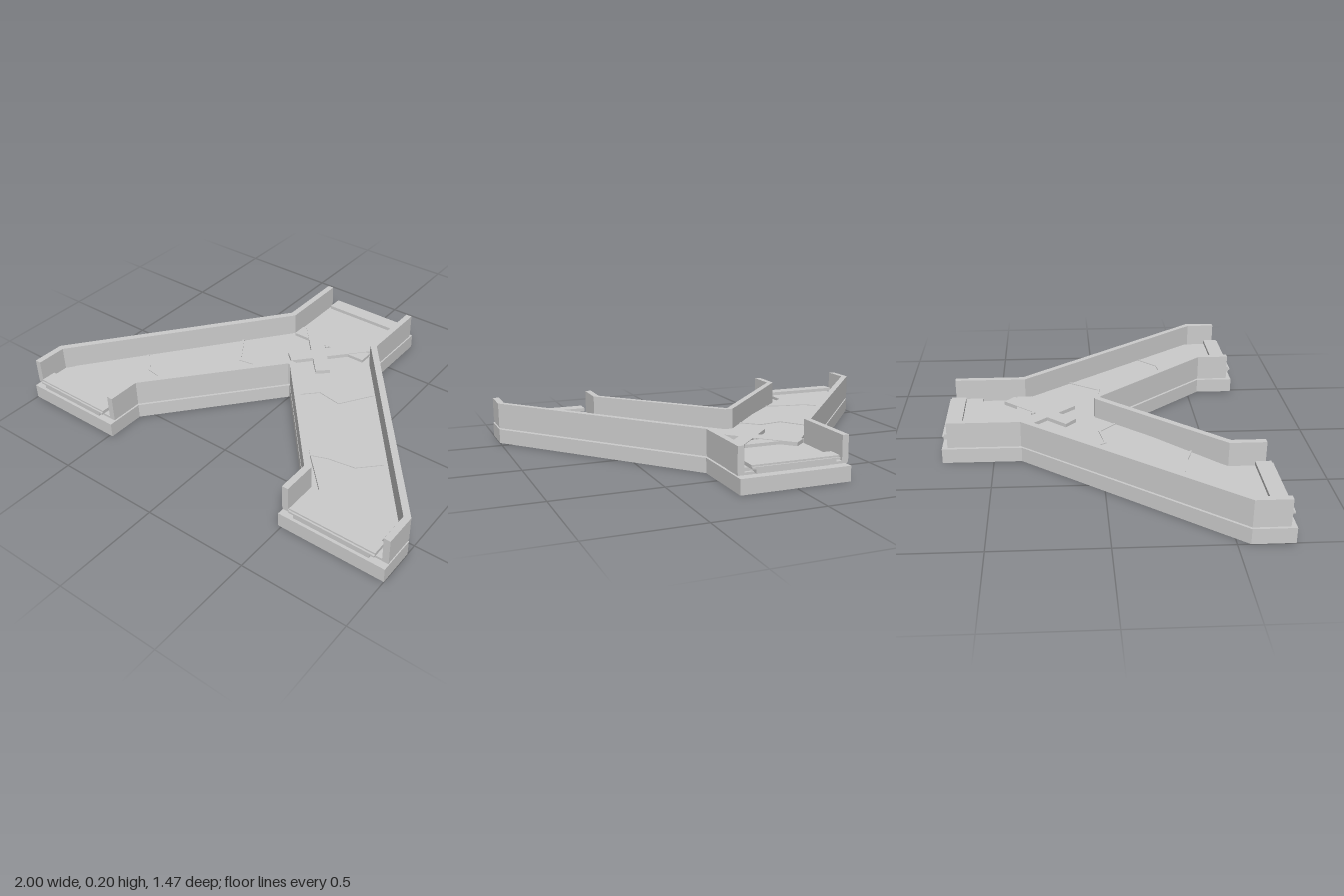
import * as THREE from 'three';

const material = new THREE.MeshStandardMaterial({ color: 0xcccccc, flatShading: true });
const BASE = 0.07;   // top of the base slab
const PLATE = 0.077; // underside of the raised deck
const LEDGE = 0.088; // top of the deck plate, foot of the walls
const FLOOR = 0.104; // top of the floor panel

// Extrude a plan outline of [x, z] points between two heights
function slab(name, points, y0, y1) {
  const shape = new THREE.Shape(points.map(([x, z]) => new THREE.Vector2(x, -z)));
  const geo = new THREE.ExtrudeGeometry(shape, { depth: y1 - y0, bevelEnabled: false });
  geo.rotateX(-Math.PI / 2);
  geo.translate(0, y0, 0);
  const mesh = new THREE.Mesh(geo, material);
  mesh.name = name;
  return mesh;
}

function box(name, x0, x1, y0, y1, z0, z1) {
  const mesh = new THREE.Mesh(new THREE.BoxGeometry(x1 - x0, y1 - y0, z1 - z0), material);
  mesh.position.set((x0 + x1) / 2, (y0 + y1) / 2, (z0 + z1) / 2);
  mesh.name = name;
  return mesh;
}

// Complete a half outline by mirroring it across x = 0
const mirror = (pts) => pts.map(([x, z]) => [-x, z]);
const mirrored = (half) => [...half, ...mirror(half).reverse().filter(([x]) => x !== 0)];

// Mitred sideways offset of an open polyline
function offset(pts, d) {
  const normals = pts.slice(1).map(([x, z], i) => {
    const dx = x - pts[i][0], dz = z - pts[i][1], l = Math.hypot(dx, dz);
    return [-dz / l, dx / l];
  });
  return pts.map(([x, z], i) => {
    const a = normals[Math.max(i - 1, 0)], b = normals[Math.min(i, normals.length - 1)];
    const k = d / (1 + a[0] * b[0] + a[1] * b[1]);
    return [x + (a[0] + b[0]) * k, z + (a[1] + b[1]) * k];
  });
}
const strip = (name, path, d, y0, y1) =>
  slab(name, [...path, ...offset(path, d).reverse()], y0, y1);
const wall = (name, path, d) => strip(name, path, d, LEDGE, 0.202);

// Sill across an open end; s is the outward z direction
function sill(name, cx, zOuter, s) {
  const g = new THREE.Group();
  g.name = name;
  const layer = (part, half, y0, y1, inner, outer) => {
    const a = zOuter - s * inner, b = zOuter - s * outer;
    g.add(box(part, cx - half, cx + half, y0, y1, Math.min(a, b), Math.max(a, b)));
  };
  layer('sillFoot', 0.178, BASE, PLATE, 0.08, 0.045);
  layer('sillCap', 0.206, FLOOR, 0.113, 0.08, 0);
  layer('sillTop', 0.206, 0.113, 0.121, 0.08, 0.008);
  return g;
}

export function createModel() {
  const group = new THREE.Group();
  group.name = 'forkedWalkway';

  // Base slab
  group.add(slab('base', mirrored([
    [0.26, -0.737], [0.26, -0.37], [1, 0.555], [1, 0.737], [0.485, 0.737], [0.485, 0.555], [0, 0],
  ]), 0, BASE));

  // Raised deck: a thin plate under the walls with a thicker floor panel on it
  group.add(slab('deckPlate', mirrored([
    [0.258, -0.71], [0.258, -0.372], [0.998, 0.555], [0.998, 0.71],
    [0.487, 0.71], [0.487, 0.554], [0, -0.003],
  ]), PLATE, LEDGE));
  group.add(slab('floorPanel', mirrored([
    [0.187, -0.735], [0.187, -0.39], [0.925, 0.54], [0.925, 0.735],
    [0.56, 0.735], [0.56, 0.55], [0.2, 0.19], [0, -0.02],
  ]), LEDGE - 0.003, FLOOR));

  // Side walls
  const outer = [[0.26, -0.71], [0.26, -0.372], [1, 0.555], [1, 0.71]];
  group.add(wall('leftWall', outer, 0.03));
  group.add(wall('rightWall', mirror(outer), -0.03));
  group.add(wall('forkWall', [
    [-0.485, 0.71], [-0.485, 0.555], [-0.006, 0.007],
    [0.006, 0.007], [0.485, 0.555], [0.485, 0.71],
  ], -0.03));

  // End sills
  group.add(sill('leftSill', 0.742, 0.737, 1));
  group.add(sill('rightSill', -0.742, 0.737, 1));
  group.add(sill('backSill', 0, -0.737, -1));

  // Crossed plates at the junction, with a shorter cross below the deck
  for (const s of [-1, 1]) {
    const arm = new THREE.Group();
    arm.name = 'crossArm';
    arm.add(box('crossPlate', -0.036, 0.036, FLOOR, 0.122, -0.255, 0.15));
    arm.add(box('crossSupport', -0.036, 0.036, BASE, PLATE, -0.215, 0.11));
    arm.position.z = -0.25;
    arm.rotation.y = s * 0.735;
    group.add(arm);
  }
  group.add(box('crossStrip', -0.207, 0.207, FLOOR, 0.119, -0.4, -0.33));
  const pin = new THREE.Mesh(new THREE.CylinderGeometry(0.01, 0.01, 0.012, 8), material);
  pin.name = 'centrePin';
  pin.position.set(0, 0.12, -0.32);
  group.add(pin);

  // Jagged seams across each branch
  const seams = [
    [[0.4, -0.13], [0.3, 0.02], [0.18, 0], [0.1, 0.08]],
    [[0.7, 0.26], [0.61, 0.35], [0.48, 0.37], [0.4, 0.4]],
  ];
  for (const seam of seams) {
    group.add(strip('leftSeam', seam, 0.01, FLOOR, FLOOR + 0.004));
    group.add(strip('rightSeam', mirror(seam), -0.01, FLOOR, FLOOR + 0.004));
  }

  // Small bracket under the left wall
  group.add(box('wallBracket', 0.18, 0.25, BASE, LEDGE, -0.69, -0.575));
  group.add(box('floorTab', 0.18, 0.225, LEDGE, FLOOR, -0.695, -0.575));

  return group;
}
